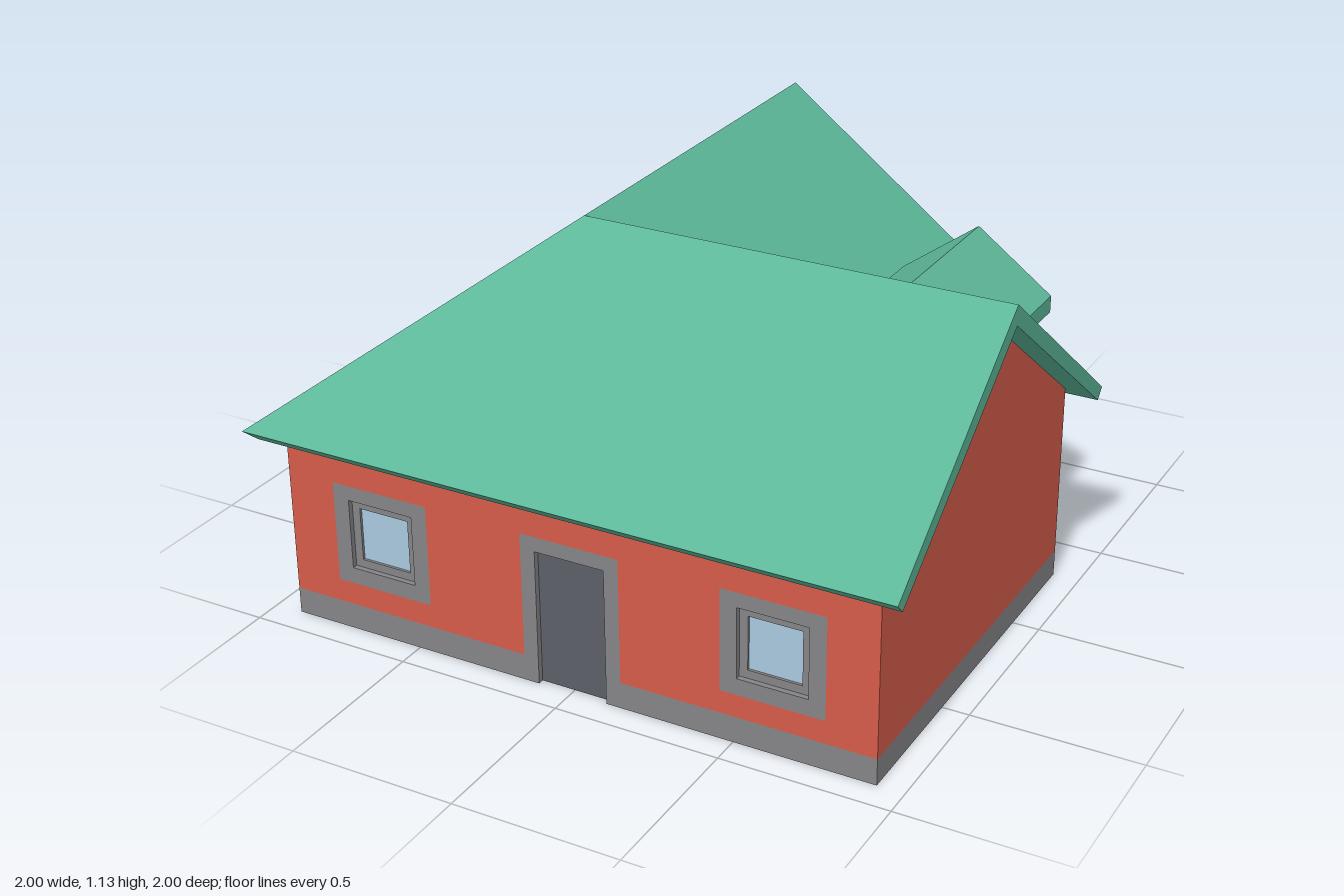
import * as THREE from 'three';

const mat = (color) => new THREE.MeshStandardMaterial({ color });
const RED = mat(0xd65c4a), GREEN = mat(0x5db799), GREY = mat(0x858589);
const DARK = mat(0x5d5f69), GLASS = mat(0xaac8e0);
const SKIN = 0.03;   // depth of the outer wall layer that holds the openings
const BASE = 0.08;   // height of the plinth

function add(parent, name, geometry, material) {
  const mesh = new THREE.Mesh(geometry, material);
  mesh.name = name;
  parent.add(mesh);
  return mesh;
}

const shapeOf = (pts) => new THREE.Shape(pts.map(([x, y]) => new THREE.Vector2(x, y)));
const rect = (x0, y0, x1, y1) => [[x0, y0], [x1, y0], [x1, y1], [x0, y1]];

// Extrudes an outline with holes between two z positions
function slab(pts, z0, z1, holes = []) {
  const shape = shapeOf(pts);
  shape.holes = holes.map(shapeOf);
  return new THREE.ExtrudeGeometry(shape, { depth: z1 - z0, bevelEnabled: false }).translate(0, 0, z0);
}

// Sweeps a cross-section (u outward from the ridge, y) round the mitred L plan
function sweepL(section, endX, endZ) {
  const rows = [
    section.map(([u, y]) => [endX, y, 0.3 + u]),
    section.map(([u, y]) => [-0.3 - u, y, 0.3 + u]),
    section.map(([u, y]) => [-0.3 - u, y, endZ]),
  ];
  const pos = [];
  const tri = (a, b, c) => pos.push(...a, ...b, ...c);
  for (let s = 0; s < 2; s++) {
    section.forEach((_, i) => {
      const j = (i + 1) % section.length;
      const a = rows[s][i], b = rows[s][j], c = rows[s + 1][i], d = rows[s + 1][j];
      tri(a, c, b);
      tri(b, c, d);
    });
  }
  const flat = section.map(([u, y]) => new THREE.Vector2(-u, y));
  for (const [i, j, k] of THREE.ShapeUtils.triangulateShape(flat, [])) {
    tri(rows[0][i], rows[0][j], rows[0][k]);
    tri(rows[2][i], rows[2][k], rows[2][j]);
  }
  const g = new THREE.BufferGeometry();
  g.setAttribute('position', new THREE.Float32BufferAttribute(pos, 3));
  g.computeVertexNormals();
  return g;
}

// Window with a flush surround, a recessed frame and glass
function addWindow(parent, { x, w }) {
  const g = new THREE.Group();
  g.name = 'window';
  const h = w / 2;
  const inner = rect(-h + 0.05, 0.2, h - 0.05, 0.415);
  const pane = rect(-h + 0.075, 0.225, h - 0.075, 0.388);
  add(g, 'windowSurround', slab(rect(-h, 0.15, h, 0.46), -SKIN, 0, [inner]), GREY);
  add(g, 'windowFrame', slab(inner, -SKIN, -0.016, [pane]), GREY);
  add(g, 'windowGlass', slab(pane, -SKIN, -0.024), GLASS);
  g.position.x = x;
  parent.add(g);
}

// Door with a surround, a recessed leaf and an optional glazed strip
function addDoor(parent, { x, w, out = 0, pane }) {
  const g = new THREE.Group();
  g.name = 'door';
  const h = w / 2, i = h - 0.045;
  const surround = [[-h, 0], [-i, 0], [-i, 0.415], [i, 0.415], [i, 0], [h, 0], [h, 0.46], [-h, 0.46]];
  add(g, 'doorSurround', slab(surround, -SKIN, out), GREY);
  add(g, 'doorLeaf', slab(rect(-i, 0, i, 0.415), -SKIN, -0.018), DARK);
  if (pane) add(g, 'doorGlass', slab(rect(...pane), -SKIN, -0.016), GLASS);
  g.position.x = x;
  parent.add(g);
}

// Outer wall layer: plinth and wall, cut for its door and windows
function facade(name, x0, x1, { door, windows = [], peak } = {}) {
  const g = new THREE.Group();
  g.name = name;
  const gaps = door ? [door.x - door.w / 2, door.x + door.w / 2] : [];
  const outline = [[x0, BASE]];
  if (door) outline.push([gaps[0], BASE], [gaps[0], 0.46], [gaps[1], 0.46], [gaps[1], BASE]);
  outline.push([x1, BASE]);
  if (peak) outline.push([x1, 0.611], [(x0 + x1) / 2, peak], [x0, 0.611]);
  else outline.push([x1, 0.64], [x0, 0.64]);
  const holes = windows.map(({ x, w }) => rect(x - w / 2, 0.15, x + w / 2, 0.46));
  add(g, 'wall', slab(outline, -SKIN, 0, holes), RED);
  const stops = [x0, ...gaps, x1];
  for (let i = 0; i < stops.length; i += 2) {
    add(g, 'plinth', slab(rect(stops[i], 0, stops[i + 1], BASE), -SKIN, 0), GREY);
  }
  windows.forEach((w) => addWindow(g, w));
  if (door) addDoor(g, door);
  return g;
}

function place(parent, part, x, z, turn) {
  part.position.set(x, 0, z);
  part.rotation.y = turn;
  parent.add(part);
}

function createDormer() {
  const g = new THREE.Group();
  g.name = 'dormer';
  // Gabled roof and walls running back into the main roof
  const roof = [[-0.23, 0.82], [0, 0.985], [0.23, 0.82], [0.23, 0.87], [0, 1.04], [-0.23, 0.87]];
  add(g, 'dormerRoof', slab(roof, -0.18, 0.355), GREEN);
  const wall = [[-0.22, 0.66], [0.22, 0.66], [0.22, 0.827], [0, 0.985], [-0.22, 0.827]];
  add(g, 'dormerWall', slab(wall, 0, 0.275), RED);
  // Triangular window
  const outer = [[-0.165, 0.755], [0.165, 0.755], [0, 0.9]];
  const inner = [[-0.105, 0.777], [0.105, 0.777], [0, 0.87]];
  add(g, 'dormerWindowSurround', slab(outer, 0.27, 0.287, [inner]), GREY);
  add(g, 'dormerWindowGlass', slab(inner, 0.27, 0.278), GLASS);
  return g;
}

export function createModel() {
  const house = new THREE.Group();
  house.name = 'house';

  // Solid core and plinth of the L-shaped body
  const c = 0.585;
  add(house, 'bodyCore', sweepL([[c, BASE], [-c, BASE], [-c, 0.634], [0, 1.07], [c, 0.634]], 0.92, -0.89), RED);
  add(house, 'plinthCore', sweepL([[c, 0], [-c, 0], [-c, BASE], [c, BASE]], 0.92, -0.89), GREY);

  // Roof with mitred hip and valley
  const roof = [[0.7, 0.6], [0.67, 0.57], [0, 1.07], [-0.67, 0.57], [-0.7, 0.6], [0, 1.13]];
  add(house, 'roof', sweepL(roof, 1, -1), GREEN);

  // Outer walls
  place(house, facade('frontWall', -0.915, 0.92, {
    door: { x: 0.003, w: 0.305 },
    windows: [{ x: -0.61, w: 0.31 }, { x: 0.615, w: 0.31 }],
  }), 0, 0.915, 0);
  place(house, facade('backGable', -0.315, 0.915, {
    peak: 1.07,
    door: { x: -0.01, w: 0.305, out: 0.015, pane: [-0.03, 0.09, 0.03, 0.37] },
    windows: [{ x: 0.6, w: 0.46 }],
  }), 0, -0.92, Math.PI);
  place(house, facade('sideWall', -0.92, 0.915, { windows: [{ x: 0, w: 0.45 }] }), -0.915, 0, -Math.PI / 2);
  place(house, facade('garageWall', -0.92, -0.315, {
    door: { x: -0.615, w: 0.47, out: 0.012, pane: [-0.135, 0.29, 0.135, 0.36] },
  }), 0, -0.315, Math.PI);
  place(house, facade('innerWall', 0.285, 0.92), 0.315, 0, Math.PI / 2);

  place(house, createDormer(), 0.615, 0, Math.PI);
  return house;
}
